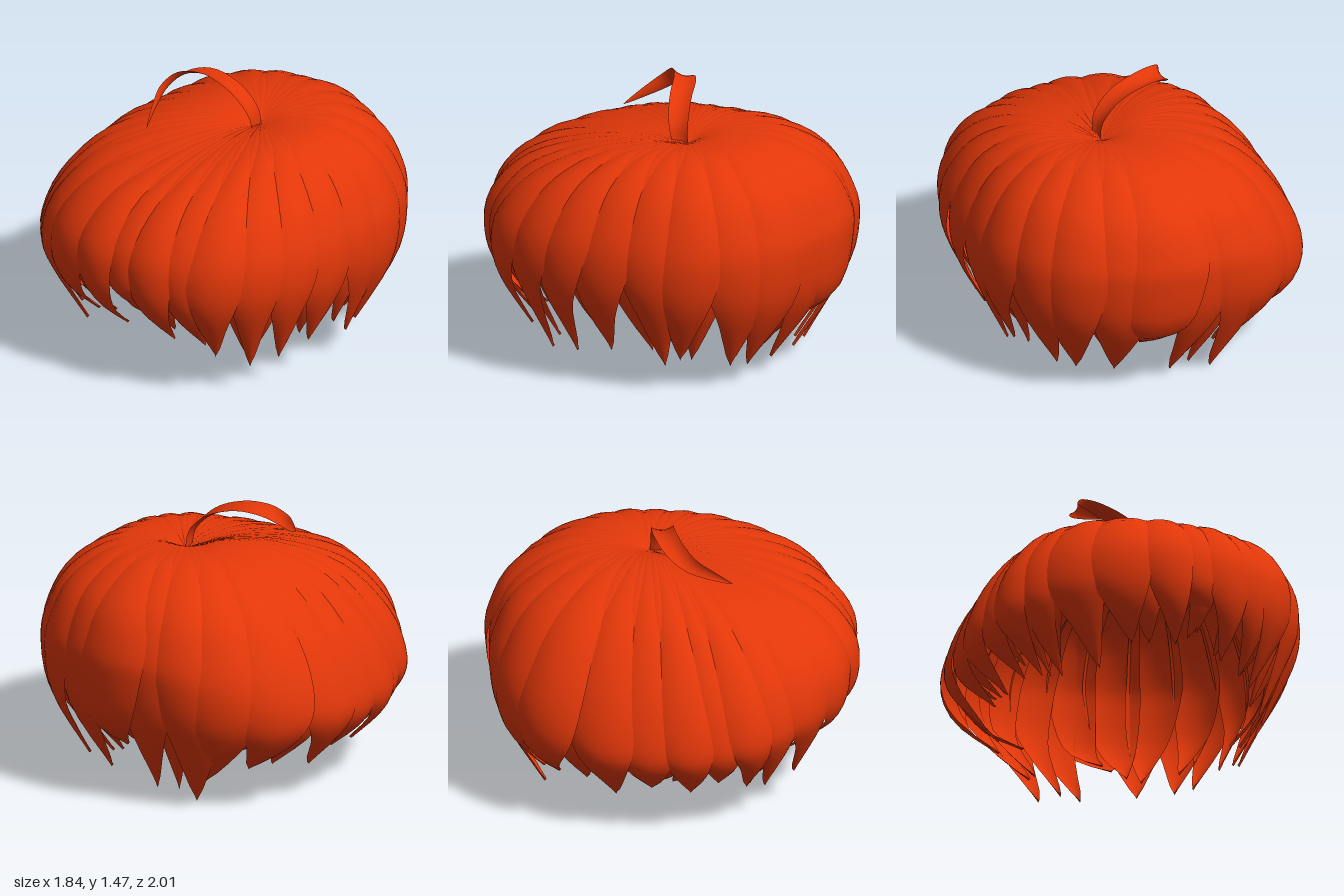
import * as THREE from 'three';

const hairRed = new THREE.MeshStandardMaterial({ color: 0xe23709, side: THREE.DoubleSide });
hairRed.name = 'hair red';

const CROWN = { x: 0.15, z: -0.15 };
const RAD = Math.PI / 180;

// Profiles from crown to tip as [share of the way to the rim, height]
const PROFILES = {
  left: [[0, 1.2], [0.2, 1.24], [0.5, 1.24], [0.78, 1.11], [0.95, 0.9], [1, 0.7], [0.95, 0.48], [0.76, 0.16]],
  front: [[0, 1.2], [0.2, 1.22], [0.5, 1.18], [0.8, 1.06], [0.97, 0.86], [1, 0.66], [0.95, 0.48], [0.82, 0.32]],
  right: [[0, 1.2], [0.2, 1.27], [0.43, 1.24], [0.68, 1.11], [0.89, 0.84], [1, 0.55], [0.97, 0.38], [0.8, 0.2]],
  back: [[0, 1.2], [0.2, 1.265], [0.55, 1.25], [0.85, 1.1], [0.98, 0.89], [1, 0.72], [0.93, 0.43], [0.64, 0.1]],
};

// Outer locks: [angle, half width, tip height, tip sweep, size]; angle runs from +x toward +z
const LOCKS = [
  [3, 11, 0.2, 4, 1], [17, 10, 0.16, 5, 1.02], [30, 10, 0.14, 4, 1.03], [43, 10, 0.22, 4, 1.04],
  [55, 10, 0.27, -4, 1], [67, 9.5, 0.3, -4, 1.01], [78, 9, 0.43, -4, 0.99], [90, 10, 0.33, -6, 1.015],
  [106, 13, 0.32, -4, 1.01], [123, 14, 0.18, -8, 0.99], [138, 10, 0.17, -7, 0.98], [148, 9, 0.2, -8, 1],
  [158, 9, 0.24, -7, 0.98], [168, 10, 0.2, -6, 1], [181, 11, 0.22, -4, 0.99], [195, 12, 0.17, -4, 1.01],
  [213, 13, 0.2, 4, 1.05], [229, 14, 0.12, 5, 1.03], [245, 14, 0.0, -7, 1.01], [259, 12, 0.04, 0, 0.99],
  [273, 15, 0.25, 3, 1.025], [289, 14, 0.09, 0, 1], [305, 13, 0.11, 2, 1.015], [320, 12, 0.12, -4, 1.01],
  [334, 11, 0.18, 4, 1.02], [348, 11, 0.14, -4, 1],
];

// Grid surface from a rule f(u along, v across from -1 to 1)
function sheet(f, nu, nv) {
  const pos = [], index = [];
  for (let i = 0; i <= nu; i++) {
    for (let j = 0; j <= nv; j++) {
      pos.push(...f(i / nu, (2 * j) / nv - 1).toArray());
      if (i === nu || j === nv) continue;
      const a = i * (nv + 1) + j, b = a + nv + 1;
      index.push(a, a + 1, b, a + 1, b + 1, b);
    }
  }
  const g = new THREE.BufferGeometry();
  g.setAttribute('position', new THREE.Float32BufferAttribute(pos, 3));
  g.setIndex(index);
  g.computeVertexNormals();
  return g;
}

// Mix the four side profiles for one direction
function profileAt(t, tipY) {
  const c = Math.cos(t), s = Math.sin(t);
  const A = c > 0 ? PROFILES.left : PROFILES.right;
  const B = s > 0 ? PROFILES.front : PROFILES.back;
  const pts = A.map((p, i) => new THREE.Vector2(
    p[0] * c * c + B[i][0] * s * s, p[1] * c * c + B[i][1] * s * s));
  pts[7].y = tipY;
  pts[6].y = Math.max(pts[6].y, tipY + 0.11);
  return new THREE.SplineCurve(pts);
}

// Point on the hair dome
function domePoint(t, u, tipY, size) {
  const p = profileAt(t, tipY).getPoint(u);
  const round = 1 + 0.03 * Math.sin(2 * t) ** 2;
  const ox = 0.92 * Math.cos(t) * round, oz = 0.985 * Math.sin(t) * round;
  const k = 1 + (size - 1) * Math.min(1, u * 2);
  return new THREE.Vector3(
    (CROWN.x + (ox - CROWN.x) * p.x) * k, p.y, (CROWN.z + (oz - CROWN.z) * p.x) * k);
}

// Leaf-shaped lock: a wedge of the dome, ridged along the middle, tapering to a point
function lock([deg, half, tipY, sweep, size]) {
  const fullness = 2.3 - 0.5 * Math.sin(deg * RAD);
  return sheet((u, v) => {
    const taper = Math.max(0, (u - 0.55) / 0.45);
    const width = half * (1 - taper ** fullness);
    const t = (deg + width * v + sweep * taper ** 1.5) * RAD;
    const p = domePoint(t, u, tipY, size);
    const sink = Math.min(1, u * 2.2) * (1 - taper * 0.7) * (0.04 * v * v + 0.01 * v);
    const inward = new THREE.Vector3(0, 0.6, 0).sub(p).normalize();
    return p.addScaledVector(inward, sink);
  }, 26, 8);
}

// Curled loose strand standing up from the crown
function curl() {
  const path = new THREE.CatmullRomCurve3([
    [0.15, 1.18, -0.11], [0.13, 1.29, -0.09], [0.03, 1.39, -0.06], [-0.13, 1.44, -0.02],
    [-0.24, 1.42, 0.05], [-0.28, 1.36, 0.14], [-0.25, 1.29, 0.25], [-0.2, 1.22, 0.36],
  ].map((p) => new THREE.Vector3(...p)));
  return sheet((u, v) => {
    const w = 0.06 * Math.sin(Math.PI * (0.2 + 0.8 * u)) ** 0.8;
    const tan = path.getTangent(u);
    const across = new THREE.Vector3(0.2, 0.8 * u * u, 1 - 0.5 * u);
    across.addScaledVector(tan, -across.dot(tan)).normalize();
    const out = new THREE.Vector3().crossVectors(across, tan).normalize();
    return path.getPoint(u).addScaledVector(across, v * w).addScaledVector(out, -0.3 * w * v * v);
  }, 32, 6);
}

export function createModel() {
  const hair = new THREE.Group();
  hair.name = 'hair';
  const add = (geometry, name) => {
    const m = new THREE.Mesh(geometry, hairRed);
    m.name = name;
    hair.add(m);
  };

  LOCKS.forEach((row, i) => add(lock(row), `outerLock${i + 1}`));

  // Under layer fills the seams between neighbouring locks
  LOCKS.forEach((row, i) => {
    const next = LOCKS[(i + 1) % LOCKS.length];
    const gap = (next[0] - row[0] + 360) % 360;
    const deg = row[0] + gap / 2;
    const tip = (row[2] + next[2]) / 2 + 0.06 + 0.05 * Math.sin(i * 2.4);
    add(lock([deg, gap * 0.65, tip, 6 * Math.sin(i * 1.7), 0.96]), `underLock${i + 1}`);
  });

  add(curl(), 'looseCurl');
  return hair;
}
